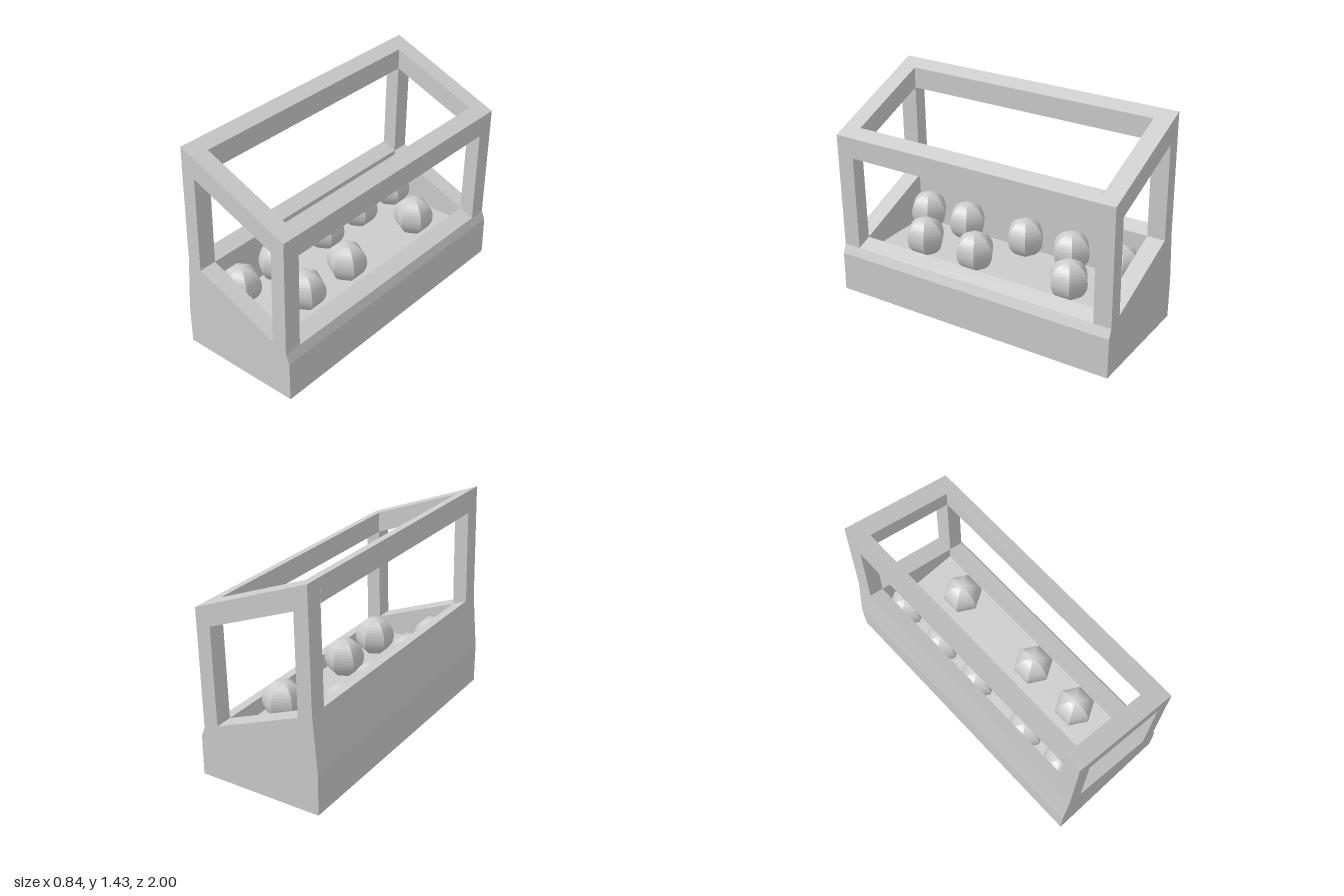
import * as THREE from 'three';

const HALF = 1;       // half length along z
const INNER = 0.88;   // inner face of the end panels
const material = new THREE.MeshStandardMaterial({ color: 0xcccccc, flatShading: true });

const points = (list) => list.map(([x, y]) => new THREE.Vector2(x, y));

// Extrudes an xy outline between two z positions
function prism(name, outline, z0, z1, hole) {
  const shape = new THREE.Shape(points(outline));
  if (hole) shape.holes.push(new THREE.Path(points(hole)));
  const geometry = new THREE.ExtrudeGeometry(shape, { depth: z1 - z0, bevelEnabled: false });
  geometry.translate(0, 0, z0);
  const mesh = new THREE.Mesh(geometry, material);
  mesh.name = name;
  return mesh;
}

export function createModel() {
  const group = new THREE.Group();
  group.name = 'displayCase';

  // End panels, each with a slanted window
  const lowerRight = [[0.422, 0], [0.422, 0.27], [0.397, 0.33]];
  const lowerLeft = [[-0.388, 0.65], [-0.422, 0.27], [-0.422, 0]];
  const panel = [...lowerRight, [0.411, 1.12], [-0.37, 1.435], ...lowerLeft];
  const windowHole = [[-0.291, 0.608], [0.296, 0.37], [0.311, 1.02], [-0.277, 1.256]];
  group.add(prism('frontPanel', panel, INNER, HALF, windowHole));
  group.add(prism('backPanel', panel, -HALF, -INNER, windowHole));

  // Trough between the panels, open at the top
  const floorY = 0.27;
  const trough = [...lowerRight, [0.296, 0.37], [0.287, floorY],
    [-0.299, floorY], [-0.291, 0.608], ...lowerLeft];
  group.add(prism('trough', trough, -INNER, INNER));

  // Long top rails
  group.add(prism('highRail',
    [[-0.37, 1.435], [-0.376, 1.285], [-0.277, 1.256], [-0.276, 1.397]], -INNER, INNER));
  group.add(prism('lowRail',
    [[0.411, 1.12], [0.315, 1.159], [0.311, 1.02], [0.408, 0.98]], -INNER, INNER));

  // Six-sided balls resting on the floor in two rows
  const ballGeometry = new THREE.SphereGeometry(0.132, 6, 20);
  ballGeometry.rotateY(Math.PI / 2);
  const rows = [
    { x: -0.213, zs: [-0.747, -0.39, -0.04, 0.425, 0.747] },
    { x: 0.128, zs: [-0.563, 0.136, 0.53] },
  ];
  for (const { x, zs } of rows) {
    for (const z of zs) {
      const ball = new THREE.Mesh(ballGeometry, material);
      ball.name = 'ball';
      ball.position.set(x, 0.402, z);
      group.add(ball);
    }
  }
  return group;
}
